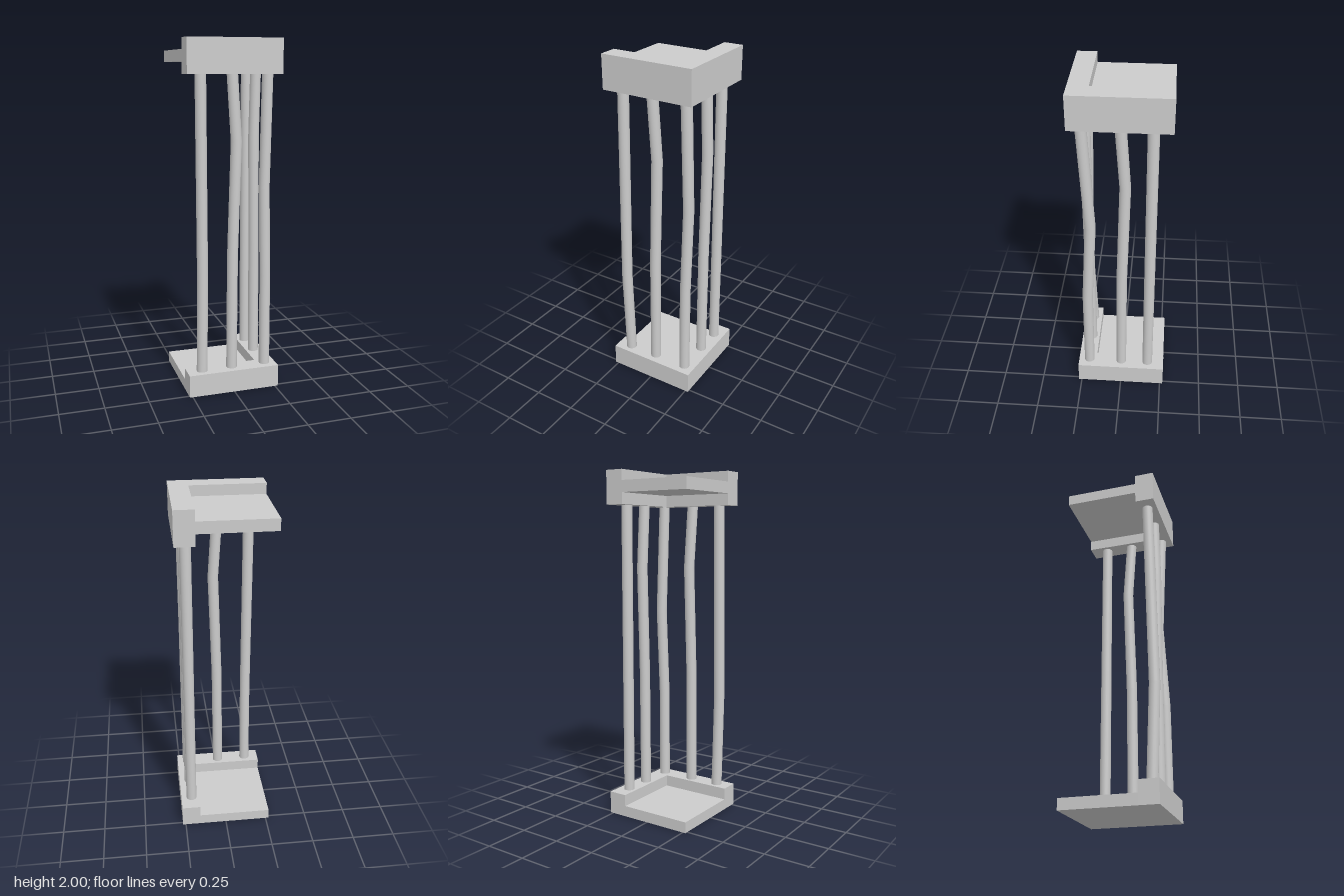
import * as THREE from 'three';

const material = new THREE.MeshStandardMaterial({ color: 0xcccccc });
const HALF = 0.268;   // half width of base and cap
const INNER = 0.158;  // inner edge of the raised L-shaped rim
const RADIUS = 0.031;
const BASE_TOP = 0.13;
const CAP_BOTTOM = 1.81;

function addMesh(parent, name, geometry) {
  const mesh = new THREE.Mesh(geometry, material);
  mesh.name = name;
  parent.add(mesh);
  return mesh;
}

// L-shaped rim along the front and +x sides, with a thin slab filling its open corner
function cornerBlock(name, bottom, top, slabBottom, slabTop) {
  const group = new THREE.Group();
  group.name = name;
  const outline = [[-HALF, HALF], [HALF, HALF], [HALF, -HALF], [INNER, -HALF], [INNER, INNER], [-HALF, INNER]];
  const shape = new THREE.Shape(outline.map(([x, z]) => new THREE.Vector2(x, -z)));
  const rim = new THREE.ExtrudeGeometry(shape, { depth: top - bottom, bevelEnabled: false });
  rim.rotateX(-Math.PI / 2).translate(0, bottom, 0);
  addMesh(group, name + 'Rim', rim);

  const size = HALF + INNER;
  const slab = new THREE.BoxGeometry(size, slabTop - slabBottom, size);
  const centre = (INNER - HALF) / 2;
  slab.translate(centre, (slabBottom + slabTop) / 2, centre);
  addMesh(group, name + 'Slab', slab);
  return group;
}

// Pole made of straight, sheared tube sections between path points [x, y, z]
function bentPole(name, path) {
  const group = new THREE.Group();
  group.name = name;
  for (let i = 0; i < path.length - 1; i++) {
    const [a, b] = [path[i], path[i + 1]];
    const geometry = new THREE.CylinderGeometry(RADIUS, RADIUS, 1, 20, 1, true);
    const p = geometry.attributes.position;
    for (let v = 0; v < p.count; v++) {
      const end = p.getY(v) > 0 ? b : a;
      p.setXYZ(v, p.getX(v) + end[0], end[1], p.getZ(v) + end[2]);
    }
    addMesh(group, name + 'Section', geometry);
  }
  return group;
}

export function createModel() {
  const model = new THREE.Group();
  model.name = 'poleTower';
  model.add(cornerBlock('base', 0, BASE_TOP, 0, 0.063));
  model.add(cornerBlock('cap', CAP_BOTTOM, 2, 1.875, 1.94));

  // Each pole: foot position, then its bends as [y, x offset, z offset]
  const poles = [
    ['frontOuterPole', -0.18, 0.21, [[0.67, 0, 0.022]]],
    ['frontMiddlePole', 0, 0.205, [[0.8, 0.004, 0], [1.45, 0.024, 0]]],
    ['cornerPole', 0.203, 0.202, [[0.67, 0, -0.003], [1.18, 0, -0.032]]],
    ['sideMiddlePole', 0.205, 0, [[0.8, 0, -0.004], [1.45, 0, -0.024]]],
    ['sideOuterPole', 0.205, -0.166, []],
  ];
  for (const [name, x, z, bends] of poles) {
    const path = [
      [x, BASE_TOP, z],
      ...bends.map(([y, dx, dz]) => [x + dx, y, z + dz]),
      [x, CAP_BOTTOM, z],
    ];
    model.add(bentPole(name, path));
  }
  return model;
}
